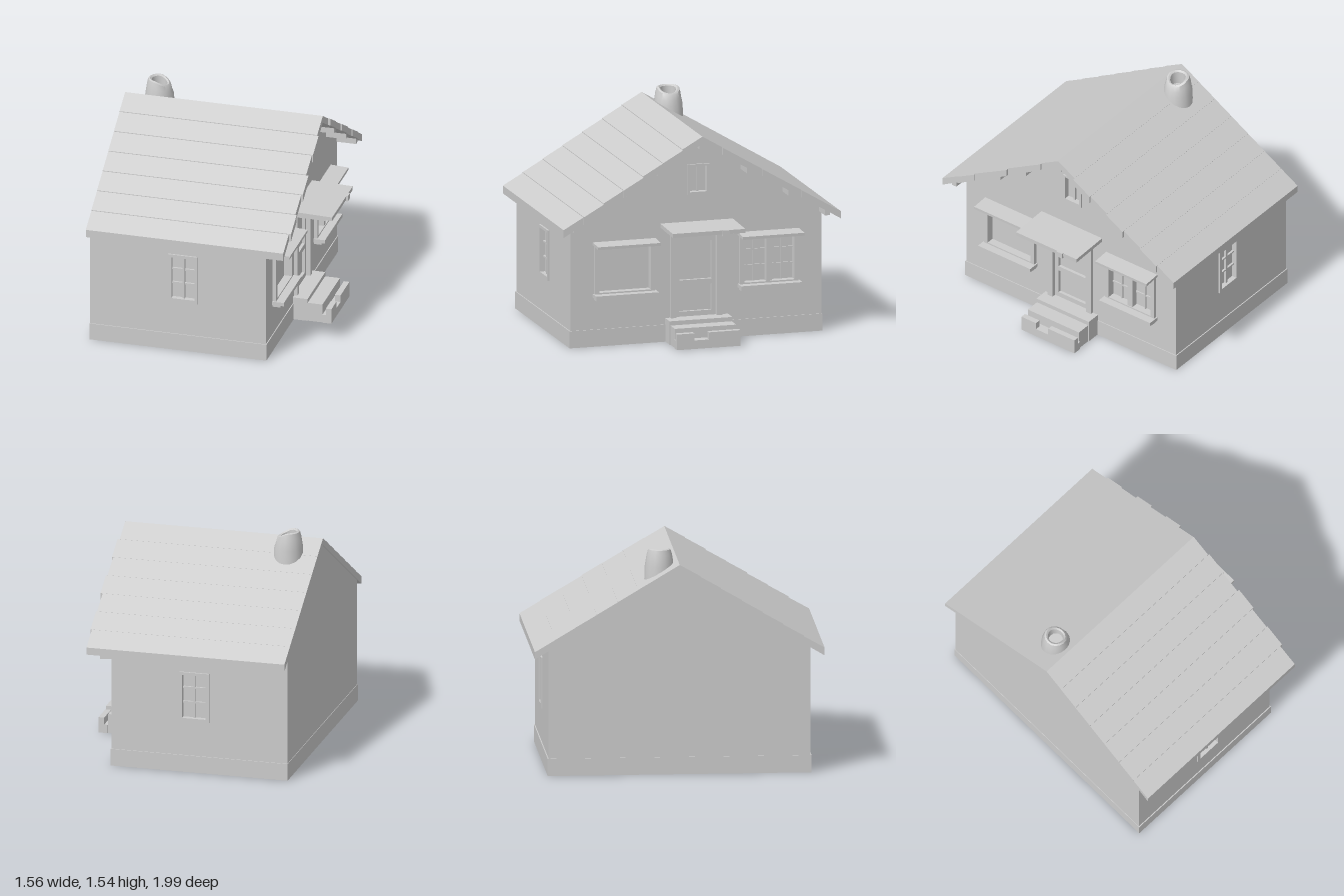
import * as THREE from 'three';
import { toCreasedNormals } from 'three/addons/utils/BufferGeometryUtils.js';

const clay = new THREE.MeshStandardMaterial({ color: 0xcccccc });
clay.name = 'clay grey';

const BACK = -0.77, GABLE = 0.48, SIDE = 0.9;
const RIDGE = 1.46, EAVE = 0.995, DROP = 0.595;
const roofY = (z) => RIDGE - (DROP * Math.abs(z)) / EAVE;

function add(parent, name, geometry) {
  const mesh = new THREE.Mesh(geometry, clay);
  mesh.name = name;
  parent.add(mesh);
  return mesh;
}

// Box given by its minimum and maximum corners
function box(parent, name, x0, x1, y0, y1, z0, z1) {
  const g = new THREE.BoxGeometry(x1 - x0, y1 - y0, z1 - z0);
  g.translate((x0 + x1) / 2, (y0 + y1) / 2, (z0 + z1) / 2);
  return add(parent, name, g);
}

const rect = (u0, u1, y0, y1) =>
  [[u0, y0], [u1, y0], [u1, y1], [u0, y1]].map((p) => new THREE.Vector2(...p));

function extrude(points, holes, depth) {
  const shape = new THREE.Shape(points);
  holes.forEach((h) => shape.holes.push(new THREE.Path(h.slice().reverse())));
  return new THREE.ExtrudeGeometry(shape, { depth, bevelEnabled: false });
}

// Cross-section in (-z, y), extruded along x from x0 to x1
function alongX(parent, name, points, holes, x0, x1) {
  const g = extrude(points, holes, x1 - x0);
  g.rotateY(Math.PI / 2);
  g.translate(x0, 0, 0);
  return add(parent, name, g);
}

const pentagon = (s) => [[-s, 0], [s, 0], [s, roofY(s) - 0.03], [0, RIDGE - 0.03], [-s, roofY(s) - 0.03]]
  .map((p) => new THREE.Vector2(...p));

// Openings of the gable wall, u = -z
const openings = {
  left: [-0.7, -0.33, 0.38, 0.71],
  right: [0.34, 0.7, 0.38, 0.71],
  attic: [-0.045, 0.075, 1.04, 1.22],
  door: [-0.15, 0.15, 0.165, 0.74],
};

function buildWalls(house) {
  const walls = new THREE.Group();
  walls.name = 'walls';
  house.add(walls);
  alongX(walls, 'core', pentagon(SIDE - 0.025), [], BACK, GABLE - 0.03);
  alongX(walls, 'gableWall', pentagon(SIDE), Object.values(openings).map((o) => rect(...o)), GABLE - 0.03, GABLE);
  alongX(walls, 'rearGable', pentagon(SIDE), [], BACK, BACK + 0.02);
  for (const s of [1, -1]) {
    const skin = extrude(rect(BACK, GABLE - 0.02, 0, 0.88), [rect(-0.19, -0.025, 0.39, 0.7)], 0.025);
    skin.translate(0, 0, s > 0 ? SIDE - 0.025 : -SIDE);
    add(walls, 'sideWall', skin);
  }
  box(walls, 'plinth', BACK - 0.003, GABLE + 0.006, 0, 0.12, -SIDE - 0.007, SIDE + 0.007);
}

function buildSideWindows(house) {
  for (const s of [1, -1]) {
    const win = new THREE.Group();
    win.name = 'sideWindow';
    house.add(win);
    const bar = (name, x0, x1, y0, y1, z0, z1) =>
      box(win, name, x0, x1, y0, y1, Math.min(s * z0, s * z1), Math.max(s * z0, s * z1));
    const frame = extrude(rect(-0.215, -0.005, 0.365, 0.72), [rect(-0.19, -0.025, 0.39, 0.7)], 0.02);
    frame.translate(0, 0, s > 0 ? SIDE - 0.008 : -SIDE - 0.012);
    add(win, 'frame', frame);
    bar('mullion', -0.114, -0.1, 0.39, 0.7, 0.87, 0.892);
    for (const y of [0.5, 0.605]) bar('muntin', -0.19, -0.025, y - 0.006, y + 0.006, 0.87, 0.89);
  }
}

function buildGableWindows(house) {
  for (const key of ['left', 'right']) {
    const [u0, u1, y0, y1] = openings[key];
    const win = new THREE.Group();
    win.name = key === 'left' ? 'plainWindow' : 'doubleWindow';
    house.add(win);
    alongX(win, 'frame', rect(u0 - 0.03, u1 + 0.03, y0 - 0.02, y1 + 0.01), [rect(u0, u1, y0, y1)], GABLE - 0.005, 0.505);
    // sloping hood, sill and sill apron
    const hood = box(win, 'hood', -0.065, 0.065, -0.01, 0.01, -u1 - 0.04, -u0 + 0.04);
    hood.position.set(0.54, 0.72, 0);
    hood.rotation.z = -0.06;
    box(win, 'sill', GABLE, 0.563, 0.345, 0.37, -u1 - 0.04, -u0 + 0.04);
    box(win, 'apron', GABLE, 0.535, 0.328, 0.346, -u1 - 0.03, -u0 + 0.03);
    if (key === 'right') {
      const mid = (u0 + u1) / 2;
      box(win, 'mullion', 0.44, 0.5, y0, y1, -mid - 0.02, -mid + 0.02);
      for (const c of [(u0 + mid - 0.02) / 2, (u1 + mid + 0.02) / 2])
        box(win, 'sashBar', 0.44, 0.462, y0, y1, -c - 0.005, -c + 0.005);
      for (const y of [0.49, 0.6]) box(win, 'muntin', 0.44, 0.46, y - 0.005, y + 0.005, -u1, -u0);
    }
  }
  const [u0, u1, y0, y1] = openings.attic;
  alongX(house, 'atticFrame', rect(u0 - 0.018, u1 + 0.018, y0 - 0.02, y1 + 0.015), [rect(u0, u1, y0, y1)], GABLE - 0.005, 0.492);
  box(house, 'atticMullion', 0.44, 0.465, y0, y1, -0.021, -0.009);
}

function buildEntrance(house) {
  const entry = new THREE.Group();
  entry.name = 'entrance';
  house.add(entry);
  alongX(entry, 'doorFrame', rect(-0.185, 0.185, 0.15, 0.79), [rect(-0.145, 0.145, 0.165, 0.74)], GABLE - 0.02, 0.503);
  alongX(entry, 'door', rect(-0.15, 0.15, 0.165, 0.74),
    [rect(-0.115, 0.115, 0.2, 0.385), rect(-0.115, 0.115, 0.42, 0.69)], 0.445, 0.472);
  // canopy over the door
  const canopy = box(entry, 'canopy', -0.15, 0.15, -0.014, 0.014, -0.265, 0.255);
  canopy.position.set(0.62, 0.814, 0);
  canopy.rotation.z = -0.03;
  box(entry, 'canopyBatten', GABLE, 0.72, 0.78, 0.805, -0.23, -0.2);
  box(entry, 'canopyBatten', GABLE, 0.72, 0.78, 0.805, 0.2, 0.23);
  box(entry, 'canopyKnob', 0.765, 0.782, 0.785, 0.825, -0.15, -0.1);
  // steps with a notched front kerb
  box(entry, 'landing', GABLE, 0.585, 0, 0.165, -0.23, 0.22);
  box(entry, 'middleStep', 0.585, 0.69, 0, 0.135, -0.225, 0.215);
  box(entry, 'lowerStep', 0.69, 0.755, 0, 0.06, -0.235, 0.22);
  box(entry, 'kerb', 0.715, 0.755, 0.055, 0.11, -0.235, -0.01);
  box(entry, 'kerb', 0.715, 0.755, 0.055, 0.11, 0.095, 0.22);
}

function buildRoof(house) {
  const roof = new THREE.Group();
  roof.name = 'roof';
  house.add(roof);
  // overlapping boards with uneven gable ends
  const ends = [0.632, 0.642, 0.634, 0.65, 0.638, 0.646, 0.63];
  const n = ends.length;
  for (const s of [1, -1]) {
    for (let i = 0; i < n; i++) {
      const a = (EAVE * i) / n, b = (EAVE * (i + 1)) / n;
      const lap = s > 0 ? 0.005 : 0.001;
      const pts = [[a, roofY(a) - 0.05], [b, roofY(b) - 0.05], [b, roofY(b) + lap], [a, roofY(a)]]
        .map(([z, y]) => new THREE.Vector2(-s * z, y));
      alongX(roof, 'roofBoard', pts, [], BACK - 0.005, ends[s > 0 ? i : n - 1 - i]);
    }
  }
  // purlin ends and ridge beam under the overhang
  for (const z of [-0.9, -0.64, -0.34, 0, 0.3, 0.52, 0.9]) {
    const y = roofY(z) - (z === 0 ? 0.06 : 0.05);
    box(roof, 'purlin', GABLE - 0.02, 0.62, y - 0.03, y + 0.02, z - 0.018, z + 0.018);
  }
}

function buildChimney(house) {
  const profile = [[0.105, 1.27], [0.1, 1.42], [0.088, 1.5], [0.078, 1.535], [0.066, 1.54], [0.054, 1.53], [0.05, 1.44], [0, 1.44]]
    .map((p) => new THREE.Vector2(...p));
  let g = new THREE.LatheGeometry(profile, 16);
  // slant the rim down towards the gable
  const p = g.attributes.position;
  for (let i = 0; i < p.count; i++)
    if (p.getY(i) > 1.49) p.setY(i, p.getY(i) - Math.max(0, p.getX(i) + 0.01) * 0.5);
  g = toCreasedNormals(g, 0.7);
  g.translate(-0.565, 0, -0.125);
  add(house, 'chimney', g);
}

export function createModel() {
  const house = new THREE.Group();
  house.name = 'cottage';
  buildWalls(house);
  buildSideWindows(house);
  buildGableWindows(house);
  buildEntrance(house);
  buildRoof(house);
  buildChimney(house);
  return house;
}
